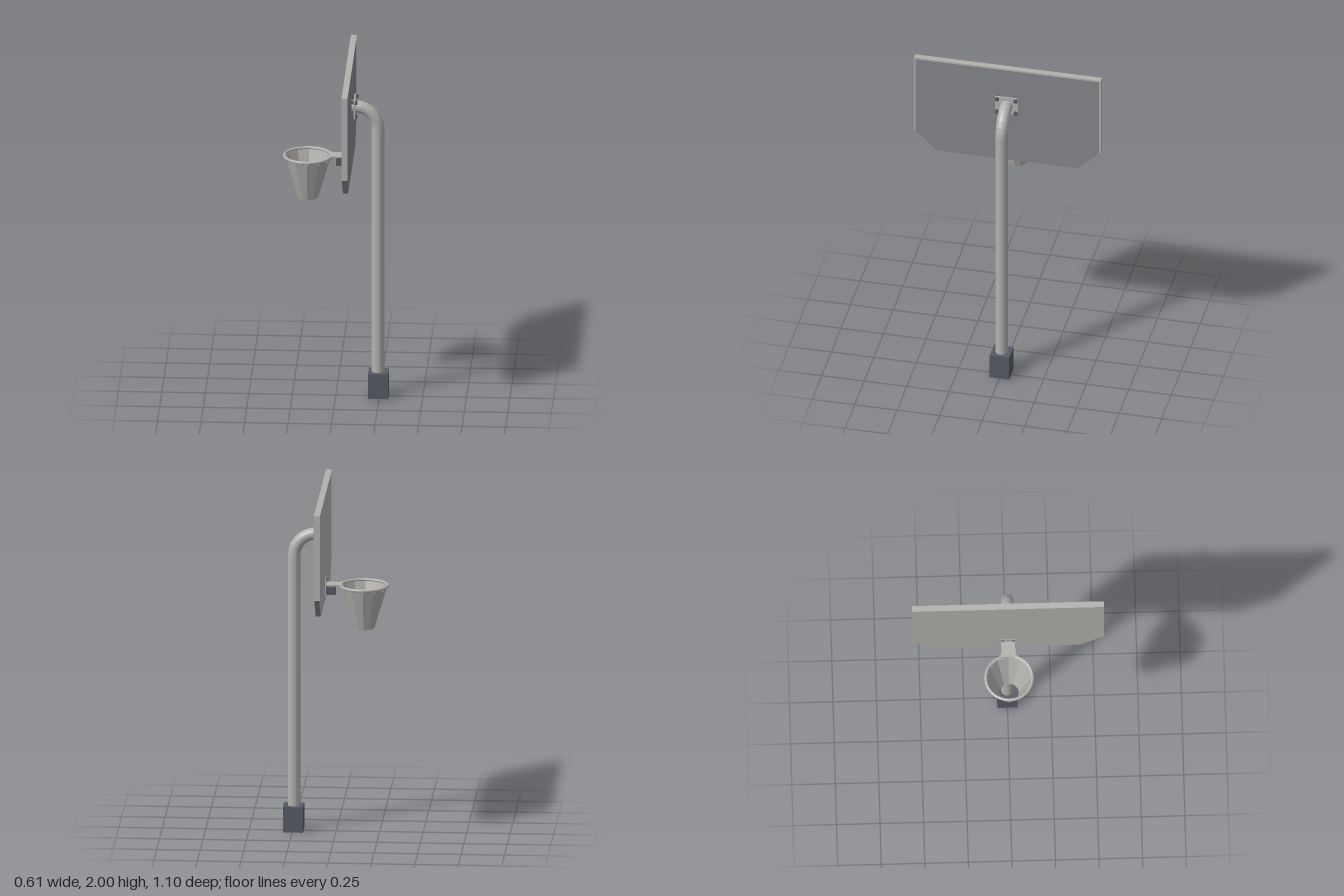
import * as THREE from 'three';

const lightGrey = new THREE.MeshStandardMaterial({ color: 0xb3b1ae });
lightGrey.name = 'light grey metal';
const boardGrey = new THREE.MeshStandardMaterial({ color: 0x84878c });
boardGrey.name = 'blue grey board';
const darkSlate = new THREE.MeshStandardMaterial({ color: 0x565a65 });
darkSlate.name = 'dark slate';

// Gives every face its own flat normal
function faceted(geometry) {
  const g = geometry.index ? geometry.toNonIndexed() : geometry;
  g.computeVertexNormals();
  return g;
}

export function createModel() {
  const model = new THREE.Group();
  model.name = 'basketballHoop';

  const add = (name, geometry, material, x = 0, y = 0, z = 0, parent = model) => {
    const mesh = new THREE.Mesh(geometry, material);
    mesh.name = name;
    mesh.position.set(x, y, z);
    parent.add(mesh);
    return mesh;
  };
  // Box given by its limits
  const box = (name, material, x0, x1, y0, y1, z0, z1, parent) =>
    add(name, new THREE.BoxGeometry(x1 - x0, y1 - y0, z1 - z0), material,
      (x0 + x1) / 2, (y0 + y1) / 2, (z0 + z1) / 2, parent);

  // Base block with a socket for the pole
  const poleX = 0.242, poleR = 0.036, half = 0.058;
  const baseShape = new THREE.Shape([
    new THREE.Vector2(-half, -half), new THREE.Vector2(half, -half),
    new THREE.Vector2(half, half), new THREE.Vector2(-half, half)]);
  const socket = new THREE.Path();
  socket.absarc(0, 0, poleR, 0, Math.PI * 2, true);
  baseShape.holes.push(socket);
  const base = new THREE.ExtrudeGeometry(baseShape, { depth: 0.15, bevelEnabled: false, curveSegments: 16 });
  base.rotateX(-Math.PI / 2);
  add('base', base, darkSlate, 0.245, 0, 0);

  // Pole: upright, quarter bend and short stub to the board
  const bendR = 0.13, bendY = 1.63, stub = 0.022;
  const upright = new THREE.CylinderGeometry(poleR, poleR, bendY - 0.01, 16);
  add('pole', faceted(upright), lightGrey, poleX, (bendY + 0.01) / 2, 0);
  const bend = new THREE.TorusGeometry(bendR, poleR, 16, 7, Math.PI / 2);
  add('poleBend', faceted(bend), lightGrey, poleX - bendR, bendY, 0);
  const stubGeo = new THREE.CylinderGeometry(poleR, poleR, stub, 16).rotateZ(Math.PI / 2);
  add('poleStub', faceted(stubGeo), lightGrey, poleX - bendR - stub / 2, bendY + bendR, 0);

  // Mounting flange with four bolts
  box('flange', lightGrey, 0.104, 0.113, 1.705, 1.815, -0.068, 0.068);
  for (const y of [1.718, 1.802]) {
    for (const z of [-0.054, 0.054]) {
      box('flangeBolt', darkSlate, 0.09, 0.126, y - 0.01, y + 0.01, z - 0.01, z + 0.01);
    }
  }

  // Backboard with cut lower corners
  const panel = (w, top, depth) => {
    const shape = new THREE.Shape([
      new THREE.Vector2(-0.415, 1.375), new THREE.Vector2(0.415, 1.375),
      new THREE.Vector2(w, 1.5), new THREE.Vector2(w, top),
      new THREE.Vector2(-w, top), new THREE.Vector2(-w, 1.5)]);
    return new THREE.ExtrudeGeometry(shape, { depth, bevelEnabled: false }).rotateY(Math.PI / 2);
  };
  add('backboard', panel(0.545, 1.995, 0.028), boardGrey, 0.063, 0, 0);
  add('backboardFace', panel(0.545, 1.995, 0.002), lightGrey, 0.061, 0, 0);

  // Trim along the top and both sides
  box('topTrim', lightGrey, 0.059, 0.094, 1.99, 2, -0.55, 0.55);
  for (const s of [-1, 1]) {
    add('sideTrim', new THREE.BoxGeometry(0.035, 0.49, 0.01), lightGrey, 0.0765, 1.745, s * 0.545);
  }

  // Hoop assembly around its own axis
  const hoop = new THREE.Group();
  hoop.name = 'hoop';
  hoop.position.set(-0.161, 0, 0);
  model.add(hoop);

  const rim = new THREE.TorusGeometry(0.1345, 0.009, 8, 32).rotateX(Math.PI / 2);
  add('rim', faceted(rim), lightGrey, 0, 1.456, 0, hoop);

  // Tapered net with a thin wall, open at both ends
  const netProfile = [[0.059, 1.205], [0.131, 1.45], [0.128, 1.45], [0.056, 1.205], [0.059, 1.205]]
    .map(([r, y]) => new THREE.Vector2(r, y));
  add('net', faceted(new THREE.LatheGeometry(netProfile, 12)), lightGrey, 0, 0, 0, hoop);

  // Small net hooks below the rim
  for (let i = 0; i < 12; i++) {
    const a = (i / 12) * Math.PI * 2;
    const hook = add('netHook', new THREE.BoxGeometry(0.008, 0.014, 0.008), lightGrey,
      Math.cos(a) * 0.132, 1.443, Math.sin(a) * 0.132, hoop);
    hook.rotation.y = -a;
  }

  // Flat arm flaring towards the rim
  const armShape = new THREE.Shape([
    new THREE.Vector2(-0.037, -0.055), new THREE.Vector2(-0.015, -0.04),
    new THREE.Vector2(0.062, -0.04), new THREE.Vector2(0.062, 0.04),
    new THREE.Vector2(-0.015, 0.04), new THREE.Vector2(-0.037, 0.055)]);
  const arm = new THREE.ExtrudeGeometry(armShape, { depth: 0.007, bevelEnabled: false });
  add('rimArm', arm.rotateX(-Math.PI / 2), lightGrey, 0, 1.458, 0);

  // Bracket under the arm, back plate and its bolts
  box('rimBracket', darkSlate, 0.002, 0.062, 1.405, 1.45, -0.03, 0.03);
  box('rimPlate', lightGrey, 0.057, 0.062, 1.4, 1.5, -0.042, 0.042);
  for (const y of [1.415, 1.485]) {
    for (const z of [-0.032, 0.032]) {
      box('rimBolt', darkSlate, 0.053, 0.06, y - 0.006, y + 0.006, z - 0.006, z + 0.006);
    }
  }

  return model;
}
